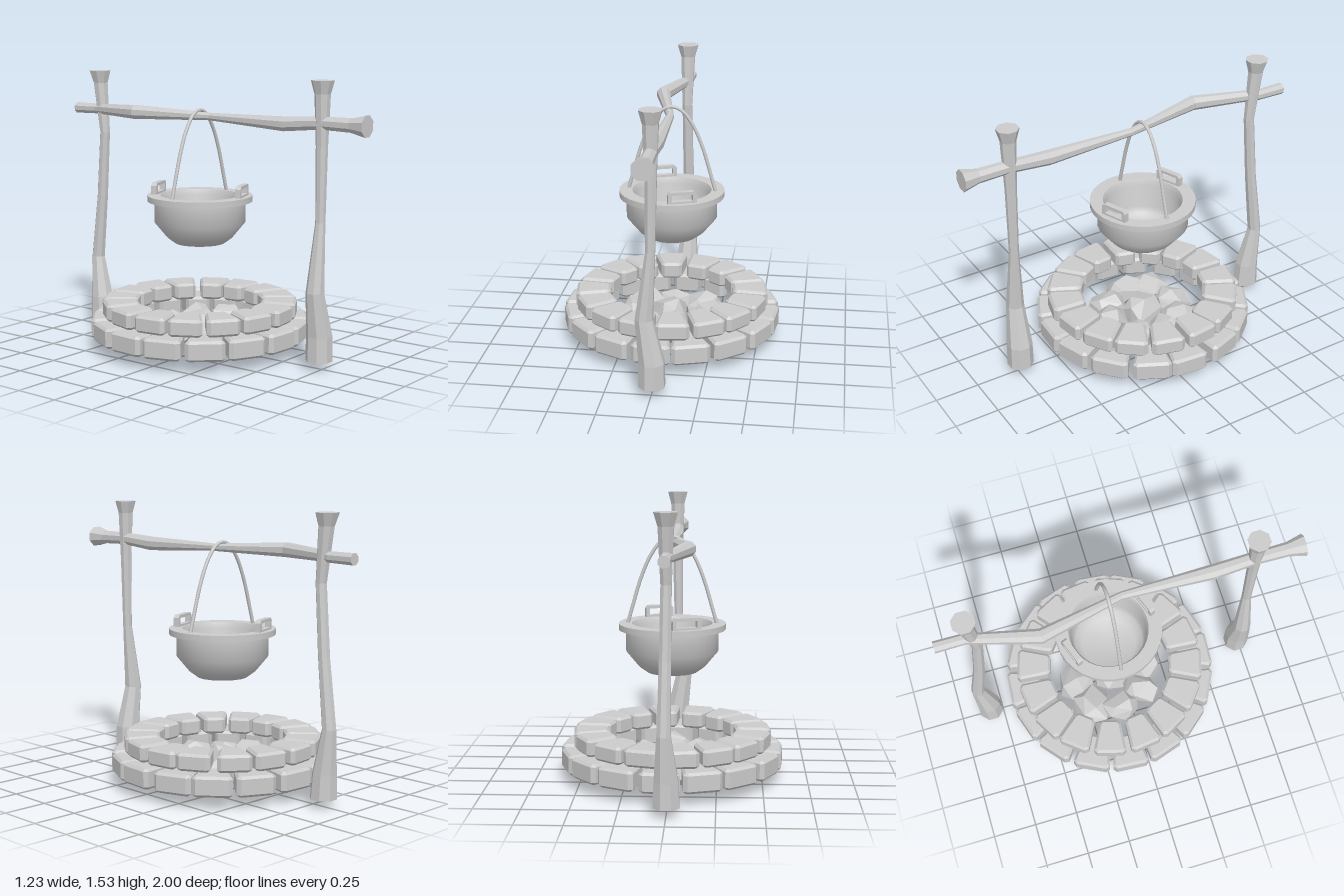
import * as THREE from 'three';
import { toCreasedNormals } from 'three/addons/utils/BufferGeometryUtils.js';
import { ConvexGeometry } from 'three/addons/geometries/ConvexGeometry.js';

const flat = new THREE.MeshStandardMaterial({ color: 0xcccccc, flatShading: true });
const smooth = new THREE.MeshStandardMaterial({ color: 0xcccccc, side: THREE.DoubleSide });

let seed = 7;
const rand = () => (seed = (seed * 16807) % 2147483647) / 2147483647;
const jitter = (a) => (rand() * 2 - 1) * a;
const toPoints = (list) => list.map(([x, y]) => new THREE.Vector2(x, y));

function add(parent, name, geometry, material = flat) {
  const mesh = new THREE.Mesh(geometry, material);
  mesh.name = name;
  parent.add(mesh);
  return mesh;
}

// Eight-sided pole through sections [height, x, z, half width], listed from the top down
function pole(sections) {
  const n = sections.length - 1;
  const g = new THREE.CylinderGeometry(1, 1, 1, 8, n);
  g.rotateY(Math.PI / 8);
  const p = g.attributes.position;
  for (let i = 0; i < p.count; i++) {
    const [h, x, z, w] = sections[Math.round((0.5 - p.getY(i)) * n)];
    const r = w * 1.08;
    p.setXYZ(i, x + p.getX(i) * r, h, z + p.getZ(i) * r);
  }
  g.computeVertexNormals();
  return g;
}

// Wedge-shaped block with cut corners and bevels, its outer side towards +x
function stoneBlock(rIn, rOut, wIn, wOut, height) {
  const b = 0.014, c = 0.01;
  const x0 = rIn + b, x1 = rOut - b, a = wIn / 2 - b, d = wOut / 2 - b;
  const shape = new THREE.Shape(toPoints([
    [x0, -a + c], [x0 + c, -a], [x1 - c, -d], [x1, -d + c],
    [x1, d - c], [x1 - c, d], [x0 + c, a], [x0, a - c],
  ]));
  const g = new THREE.ExtrudeGeometry(shape, {
    depth: height - 2 * b, bevelEnabled: true, bevelSize: b, bevelThickness: b, bevelSegments: 1,
  });
  return g.translate(0, 0, b).rotateX(-Math.PI / 2);
}

function stoneRing(name, count, offset, y, ...size) {
  const ring = new THREE.Group();
  ring.name = name;
  const g = stoneBlock(...size);
  for (let i = 0; i < count; i++) {
    const stone = add(ring, 'stone', g);
    stone.position.y = y;
    stone.rotation.y = offset + (i / count) * Math.PI * 2 + jitter(0.02);
  }
  return ring;
}

// Irregular faceted rock
function rock(rx, ry, rz) {
  const points = [], n = 16;
  for (let i = 0; i < n; i++) {
    const y = 1 - (2 * (i + 0.5)) / n, a = i * 2.4 + jitter(0.4), r = Math.sqrt(1 - y * y);
    const k = 1 + jitter(0.08);
    points.push(new THREE.Vector3(Math.cos(a) * r * rx * k, y * ry * k, Math.sin(a) * r * rz * k));
  }
  return new ConvexGeometry(points);
}

// Bracket with cut upper corners and an open window
function gripGeometry() {
  const shape = new THREE.Shape(toPoints([
    [-0.08, 0], [0.08, 0], [0.08, 0.05], [0.066, 0.065], [-0.066, 0.065], [-0.08, 0.05],
  ]));
  shape.holes.push(new THREE.Path(toPoints([[-0.058, 0.012], [-0.058, 0.048], [0.058, 0.048], [0.058, 0.012]])));
  return new THREE.ExtrudeGeometry(shape, { depth: 0.032, bevelEnabled: false }).translate(0, 0, -0.016);
}

export function createModel() {
  const model = new THREE.Group();
  model.name = 'campfire';

  // Two upright posts with flared tops
  add(model, 'frontPost', pole([
    [1.54, 0, 0.73, 0.058], [1.47, 0, 0.73, 0.04], [1.2, 0, 0.73, 0.03], [0.8, -0.005, 0.73, 0.025],
    [0.43, -0.04, 0.725, 0.046], [0.19, 0, 0.73, 0.066], [0.055, 0, 0.73, 0.068],
  ]));
  add(model, 'backPost', pole([
    [1.54, 0, -0.82, 0.06], [1.47, 0, -0.815, 0.04], [1.18, 0, -0.785, 0.028], [0.8, 0.005, -0.815, 0.03],
    [0.43, 0.01, -0.86, 0.036], [0.19, 0, -0.825, 0.062], [0.055, 0, -0.82, 0.068],
  ]));

  // Crooked beam across the posts
  const beam = pole([
    [1, 0, -1.318, 0.056], [0.91, 0, -1.318, 0.036], [0.73, 0, -1.32, 0.033], [0.5, -0.005, -1.303, 0.038],
    [0, 0, -1.314, 0.02], [-0.46, -0.1, -1.322, 0.038], [-0.76, -0.022, -1.318, 0.03],
    [-0.84, 0, -1.316, 0.028], [-1, 0, -1.315, 0.03],
  ]);
  add(model, 'beam', beam.rotateX(Math.PI / 2));

  // Everything below is centred on the fire
  const fire = new THREE.Group();
  fire.name = 'firePlace';
  fire.position.z = -0.075;
  model.add(fire);

  // Two staggered rings of stone blocks
  fire.add(stoneRing('lowerStones', 16, -0.08, 0.075, 0.42, 0.61, 0.145, 0.212, 0.112));
  fire.add(stoneRing('upperStones', 16, 0.116, 0.19, 0.35, 0.545, 0.125, 0.185, 0.095));

  // Heap of rocks inside the ring
  const heap = new THREE.Group();
  heap.name = 'rocks';
  fire.add(heap);
  add(heap, 'rock', rock(0.13, 0.115, 0.12)).position.y = 0.112;
  for (let i = 0; i < 8; i++) {
    const a = (i / 8) * Math.PI * 2, r = 0.205 + jitter(0.015);
    const g = rock(0.115 + jitter(0.015), 0.085, 0.105 + jitter(0.015));
    const m = add(heap, 'rock', g);
    m.position.set(Math.cos(a) * r * 1.1, 0.105 + jitter(0.015), Math.sin(a) * r);
    m.rotation.set(jitter(0.25), rand() * 6, jitter(0.25));
  }

  // Cooking pot with a flat rim
  const pot = new THREE.Group();
  pot.name = 'pot';
  fire.add(pot);
  const profile = toPoints([
    [0, 0.602], [0.14, 0.602], [0.185, 0.635], [0.255, 0.72], [0.255, 0.84], [0.295, 0.84], [0.295, 0.873],
    [0.222, 0.873], [0.208, 0.84], [0.205, 0.7], [0.19, 0.665], [0.15, 0.64], [0, 0.64],
  ]);
  add(pot, 'bowl', toCreasedNormals(new THREE.LatheGeometry(profile, 32), 0.75), smooth);

  // Two grips standing opposite each other on the rim
  for (const [name, turn] of [['frontGrip', 0.35], ['backGrip', 0.35 + Math.PI]]) {
    const grip = add(pot, name, gripGeometry());
    grip.position.set(Math.sin(turn) * 0.245, 0.872, Math.cos(turn) * 0.245);
    grip.rotation.y = turn;
  }

  // Wire bail hanging from the beam
  const halfBail = [[0.246, 0.865], [0.222, 0.95], [0.168, 1.13], [0.115, 1.25], [0.055, 1.327]];
  const path = [...halfBail.map(([x, y]) => [-x, y]), [0, 1.348], ...halfBail.reverse()];
  const curve = new THREE.CatmullRomCurve3(path.map(([x, y]) => new THREE.Vector3(x, y, 0)));
  add(pot, 'bail', new THREE.TubeGeometry(curve, 40, 0.01, 8), smooth);

  return model;
}
